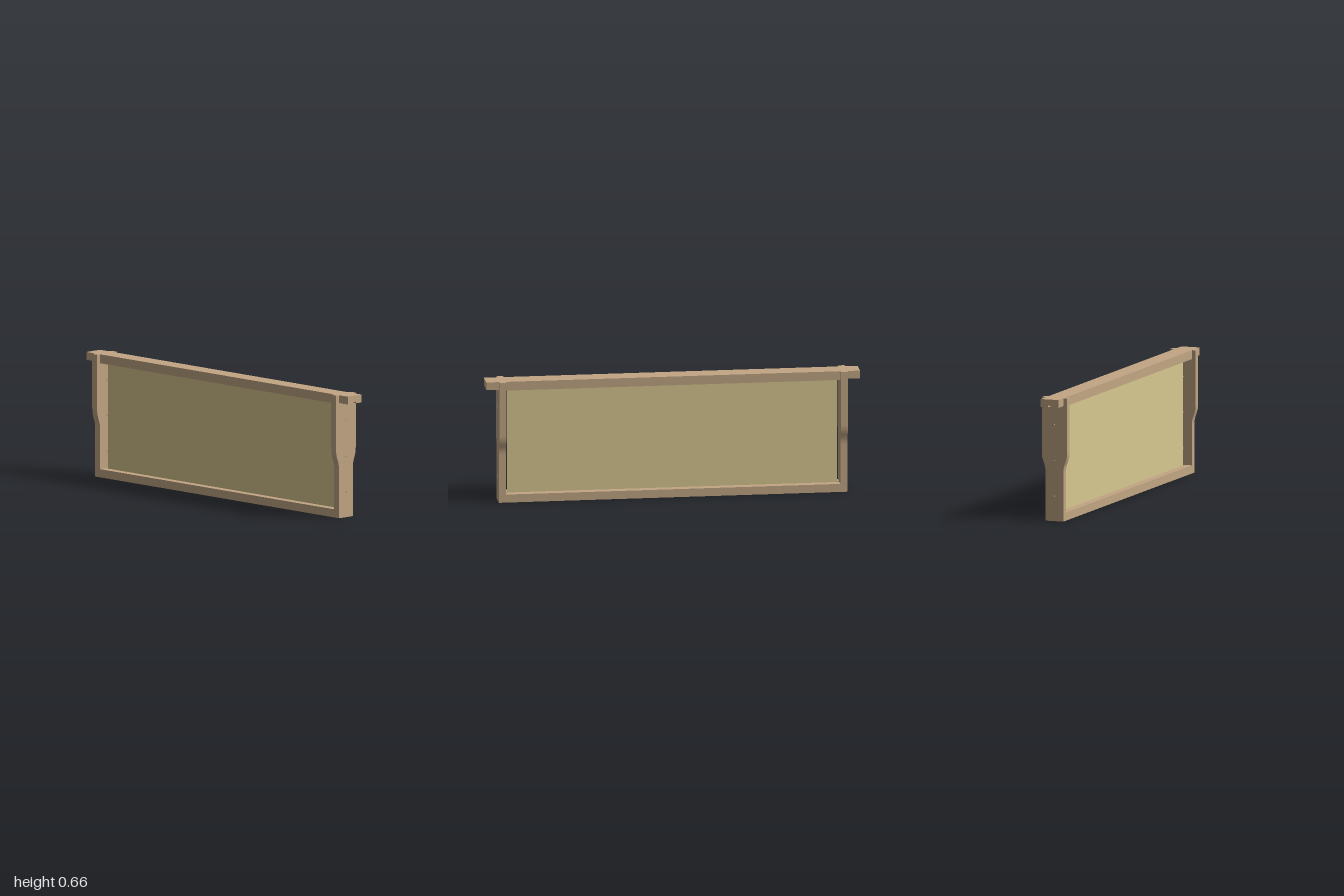
import * as THREE from 'three';

const wood = new THREE.MeshStandardMaterial({ color: 0xc2a684 });
const wax = new THREE.MeshStandardMaterial({ color: 0xd8c890 });

const TOP = 0.662;      // top of the frame
const BAR = 0.051;      // half depth of the bars
const WIDE = 0.0725;    // half depth of the wide upper side bars
const GROOVE = 0.008;   // half width of the sheet groove
const INNER = 0.895, OUTER = 0.932; // side bar faces

// Extrude a depth/height profile along x, between x0 and x1
function alongX(name, shape, x0, x1) {
  const geo = new THREE.ExtrudeGeometry(shape, { depth: x1 - x0, bevelEnabled: false, curveSegments: 16 });
  geo.rotateY(Math.PI / 2);
  geo.translate(x0, 0, 0);
  const mesh = new THREE.Mesh(geo, wood);
  mesh.name = name;
  return mesh;
}

const polygon = (points) => new THREE.Shape(points.map(([z, y]) => new THREE.Vector2(z, y)));

// Top bar section with a groove in its underside
const topSection = (bottom) => polygon([
  [-BAR, bottom], [-GROOVE, bottom], [-GROOVE, 0.629], [GROOVE, 0.629],
  [GROOVE, bottom], [BAR, bottom], [BAR, TOP], [-BAR, TOP],
]);

// Side bar: narrow foot, curved shoulder, notch for the top bar, wire holes
function sideSection() {
  const s = new THREE.Shape();
  s.moveTo(-BAR, 0);
  s.lineTo(BAR, 0);
  s.lineTo(BAR, 0.26);
  s.bezierCurveTo(BAR, 0.31, WIDE, 0.32, WIDE, 0.37);
  s.lineTo(WIDE, TOP);
  s.lineTo(BAR, TOP);
  s.lineTo(BAR, 0.62);
  s.lineTo(GROOVE, 0.62);
  s.lineTo(GROOVE, 0.609);
  s.lineTo(-GROOVE, 0.609);
  s.lineTo(-GROOVE, 0.62);
  s.lineTo(-BAR, 0.62);
  s.lineTo(-BAR, TOP);
  s.lineTo(-WIDE, TOP);
  s.lineTo(-WIDE, 0.37);
  s.bezierCurveTo(-WIDE, 0.32, -BAR, 0.31, -BAR, 0.26);
  s.closePath();
  for (const y of [0.135, 0.327, 0.518]) {
    s.holes.push(new THREE.Path().absarc(0, y, 0.003, 0, Math.PI * 2, true));
  }
  return s;
}

export function createModel() {
  const model = new THREE.Group();
  model.name = 'hiveFrame';

  // Top bar with thinner lugs beyond the side bars
  model.add(alongX('topBar', topSection(0.614), -INNER, INNER));
  model.add(alongX('leftLug', topSection(0.62), INNER, 1));
  model.add(alongX('rightLug', topSection(0.62), -1, -INNER));

  // Side bars
  model.add(alongX('leftSideBar', sideSection(), INNER, OUTER));
  model.add(alongX('rightSideBar', sideSection(), -OUTER, -INNER));

  // Bottom bar with a groove in its upper face
  model.add(alongX('bottomBar', polygon([
    [-BAR, 0], [BAR, 0], [BAR, 0.044], [GROOVE, 0.044], [GROOVE, 0.03],
    [-GROOVE, 0.03], [-GROOVE, 0.044], [-BAR, 0.044],
  ]), -INNER, INNER));

  // Wax sheet standing in the groove
  const sheet = new THREE.Mesh(new THREE.BoxGeometry(1.766, 0.574, 0.008), wax);
  sheet.name = 'waxSheet';
  sheet.position.y = 0.03 + 0.574 / 2;
  model.add(sheet);

  return model;
}
